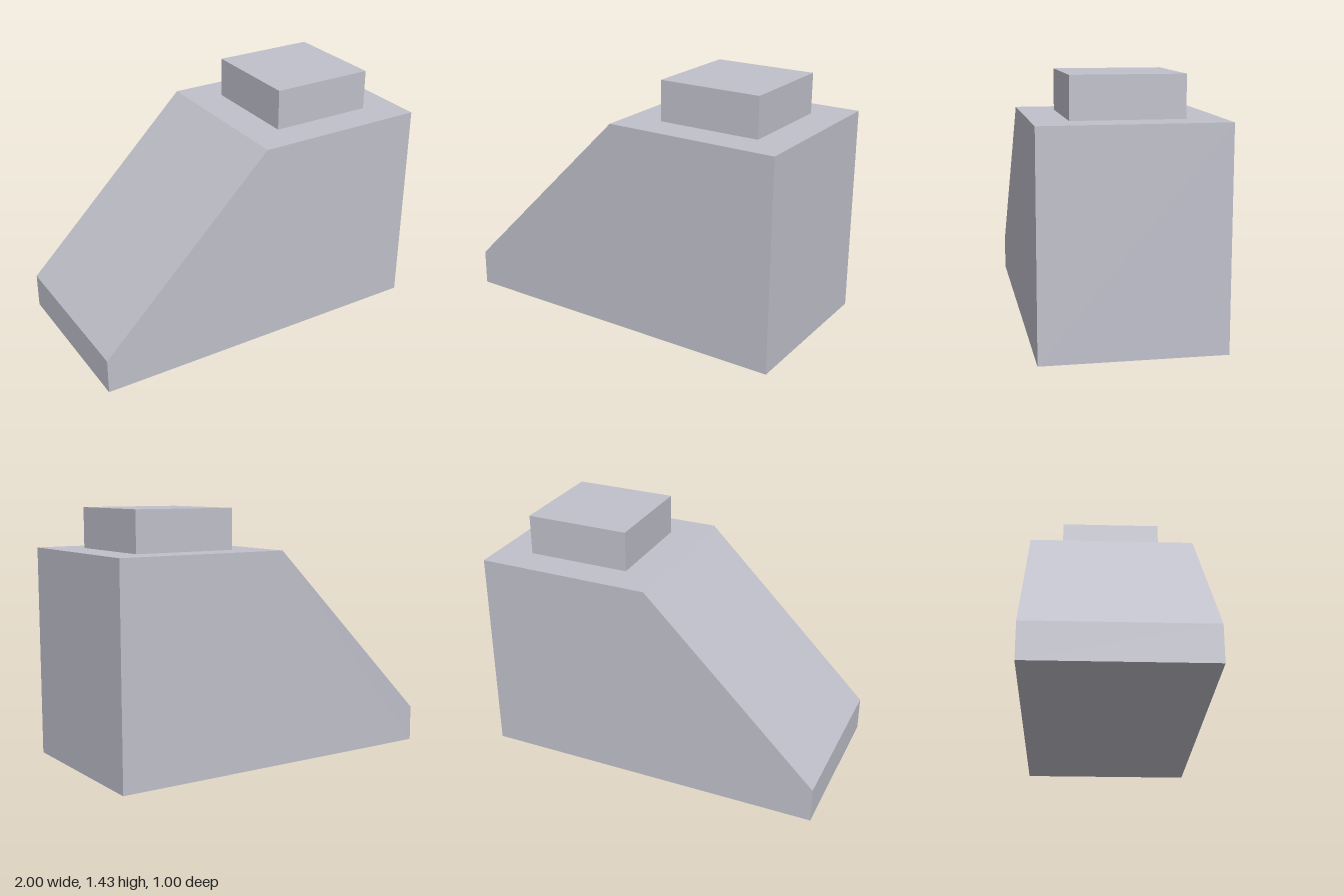
import * as THREE from 'three';

export function createModel() {
  const model = new THREE.Group();
  model.name = 'slopeBrick';
  const plastic = new THREE.MeshStandardMaterial({ color: 0xc0c0cb });
  plastic.name = 'light grey';

  const topY = 1.205, depth = 0.995;

  // Sloped body: side profile extruded front to back
  const profile = new THREE.Shape([
    [-1, 0], [1, 0], [1, topY], [0, topY], [-1, 0.205],
  ].map(([x, y]) => new THREE.Vector2(x, y)));
  const bodyGeometry = new THREE.ExtrudeGeometry(profile, { depth, bevelEnabled: false });
  bodyGeometry.translate(0, 0, -depth / 2);
  const body = new THREE.Mesh(bodyGeometry, plastic);
  body.name = 'slopedBody';
  model.add(body);

  // Square stud on the flat top
  const studHeight = 0.23;
  const stud = new THREE.Mesh(new THREE.BoxGeometry(0.6, studHeight, 0.605), plastic);
  stud.name = 'topStud';
  stud.position.set(0.5, topY + studHeight / 2, 0);
  model.add(stud);

  return model;
}
